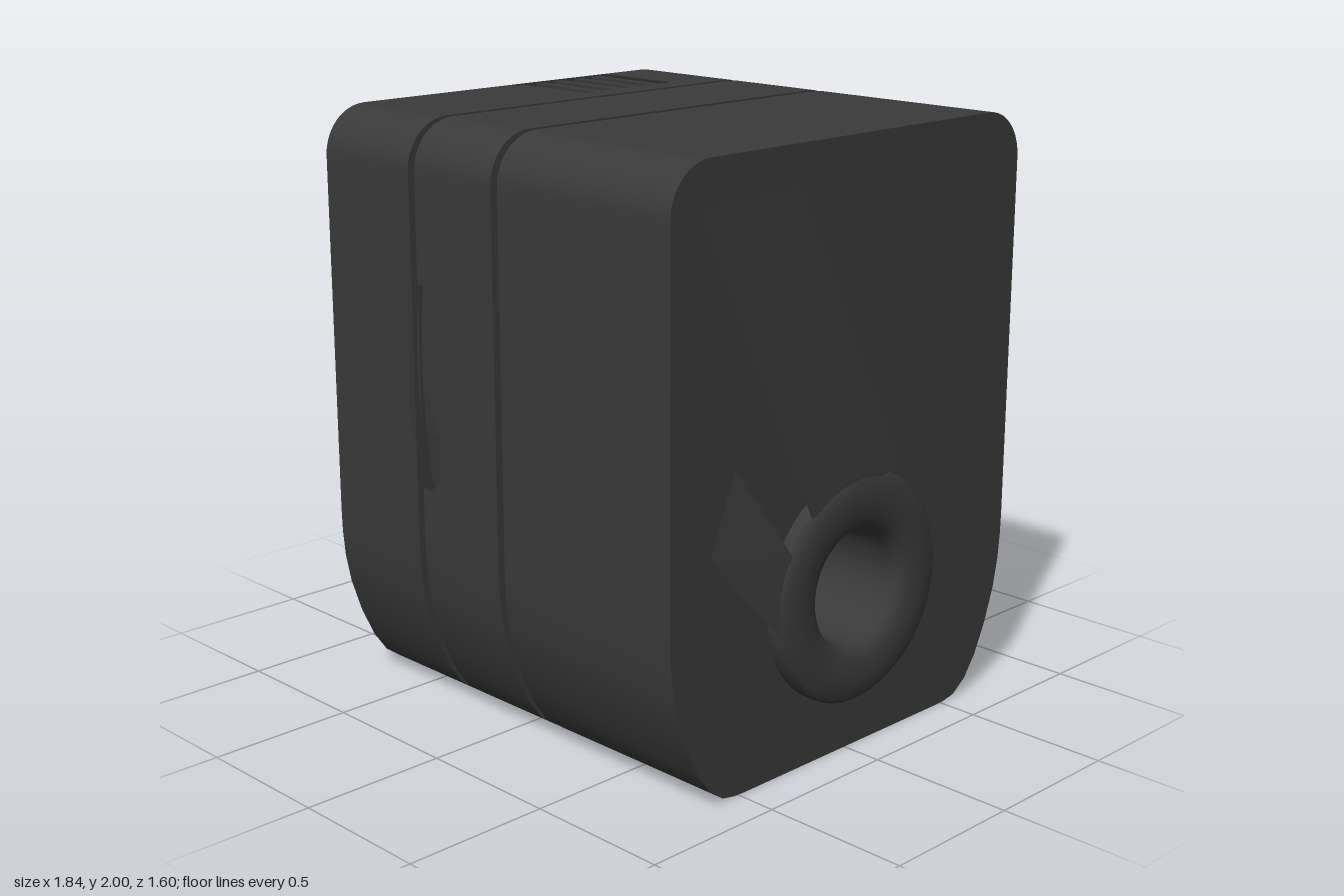
import * as THREE from 'three';
import { ConvexGeometry } from 'three/addons/geometries/ConvexGeometry.js';

const dark = new THREE.MeshStandardMaterial({ color: 0x3a3a3a, side: THREE.DoubleSide });
const darkFlat = new THREE.MeshStandardMaterial({ color: 0x3a3a3a, side: THREE.DoubleSide, flatShading: true });
const grey = new THREE.MeshStandardMaterial({ color: 0xcccccc, side: THREE.DoubleSide });

// Side outline of the housing as [z, y]: front half, then mirrored for the back
function outline() {
  const half = [[0, 0], [0.48, 0], [0.52, 0.002], [0.57, 0.012], [0.63, 0.055], [0.68, 0.125], [0.73, 0.23],
    [0.77, 0.35], [0.79, 0.45], [0.798, 0.54], [0.8, 0.62], [0.8, 0.8], [0.8, 1.2], [0.8, 1.48], [0.8, 1.65], [0.8, 1.8]];
  for (let i = 0; i <= 10; i++) {
    const a = (i / 10) * Math.PI / 2;
    half.push([0.64 + 0.16 * Math.cos(a), 1.84 + 0.16 * Math.sin(a)]);
  }
  half.push([0.6, 2], [0.45, 2], [0, 2]);
  const back = half.slice(1, -1).reverse().map(([z, y]) => [-z, y]);
  return half.concat(back);
}
const profile = outline();
const BASE_Y = 0.56; // height of the dial and ring axis

// Band swept along x through the stations; cells where isHole(x, y, z) is true stay open
function band(stations, scale, isHole = () => false) {
  const n = profile.length, pos = [], index = [];
  for (const x of stations)
    for (const [z, y] of profile) pos.push(x, 1 + (y - 1) * scale, z * scale);
  for (let i = 0; i < stations.length - 1; i++)
    for (let j = 0; j < n; j++) {
      const k = (j + 1) % n;
      const [z0, y0] = profile[j], [z1, y1] = profile[k];
      if (isHole((stations[i] + stations[i + 1]) / 2, (y0 + y1) / 2, (z0 + z1) / 2)) continue;
      const a = i * n + j, b = a + n, c = i * n + k, d = c + n;
      index.push(a, b, c, b, d, c);
    }
  const g = new THREE.BufferGeometry();
  g.setAttribute('position', new THREE.Float32BufferAttribute(pos, 3));
  g.setIndex(index);
  g.computeVertexNormals();
  return g;
}

// Flat wall with the housing outline, with an optional round or outline-shaped opening
function wall(x, side, holeRadius = 0, rim = 0) {
  const s = new THREE.Shape(profile.map(([z, y]) => new THREE.Vector2(z, y)));
  if (holeRadius) s.holes.push(new THREE.Path().absarc(0, BASE_Y, holeRadius, 0, Math.PI * 2, true));
  if (rim) s.holes.push(new THREE.Path(profile.map(([z, y]) => new THREE.Vector2(z * rim, 1 + (y - 1) * rim)).reverse()));
  return new THREE.ShapeGeometry(s, 40).rotateY(side * Math.PI / 2).translate(x, 0, 0);
}

export function createModel() {
  const model = new THREE.Group();
  const add = (name, geometry, material = dark) => {
    const mesh = new THREE.Mesh(geometry, material);
    mesh.name = name;
    model.add(mesh);
    return mesh;
  };
  const hull = (name, pts) => add(name, new ConvexGeometry(pts.map(p => new THREE.Vector3(...p))), darkFlat);

  // Openings: top vent, back vent and front latch recess
  const openings = (x, y, z) =>
    (x > -0.74 && x < -0.4 && y > 1.99 && z > -0.45 && z < 0) ||
    (x > -0.72 && x < -0.4 && z < -0.79 && y > 1.2 && y < 1.65) ||
    (x > -0.53 && x < -0.19 && z > 0.79 && y > 0.8 && y < 1.48);

  // Three housing sections separated by narrow grooves
  const sections = [
    ['endSection', [-0.74, -0.72, -0.53, -0.4, -0.31]],
    ['middleSection', [-0.28, -0.19, 0.09]],
    ['mainSection', [0.12, 0.86]],
  ];
  for (const [name, xs] of sections) {
    add(name, band(xs, 1, openings));
    if (xs[0] > -0.7) add(name + 'Rim', wall(xs[0], -1, 0, 0.94));
    if (xs.at(-1) < 0.8) add(name + 'Rim', wall(xs.at(-1), 1, 0, 0.94));
  }
  add('innerCore', band([-0.74, 0.86], 0.94));
  add('grooveSeal', band([0.085, 0.125], 0.965), grey);

  // End walls
  add('dialWall', wall(-0.74, -1));
  add('ringWall', wall(0.86, 1, 0.19));

  // Vent slats on the top and the back
  for (let i = 0; i < 5; i++) {
    const t = (i + 0.5) / 5;
    add('topSlat', new THREE.BoxGeometry(0.34, 0.05, 0.035).translate(-0.57, 1.97, -0.45 + 0.45 * t));
    add('backSlat', new THREE.BoxGeometry(0.32, 0.035, 0.05).translate(-0.56, 1.2 + 0.45 * t, -0.77));
  }

  // Slim latch blade in the front recess
  hull('latchBlade', [
    [-0.3, 0.82, 0.76], [-0.22, 0.82, 0.76], [-0.19, 0.98, 0.79], [-0.38, 1.0, 0.77],
    [-0.2, 1.48, 0.79], [-0.37, 1.46, 0.77], [-0.26, 1.2, 0.75], [-0.3, 1.2, 0.79],
  ]);

  // Ring with a rounded face and a recessed cup behind it
  const ringProfile = [[0.19, -0.3], [0.19, 0.0], [0.2, 0.035], [0.24, 0.055], [0.3, 0.06], [0.36, 0.055], [0.38, 0.035], [0.38, 0]];
  const turn = (pts, side, x) => new THREE.LatheGeometry(pts.map(p => new THREE.Vector2(...p)), 48)
    .rotateZ(-side * Math.PI / 2).translate(x, BASE_Y, 0);
  add('ring', turn(ringProfile.reverse(), 1, 0.86));
  add('cupFloor', new THREE.CircleGeometry(0.19, 48).rotateY(Math.PI / 2).translate(0.56, BASE_Y, 0));

  // Shallow facets running from the ring to the housing edge
  hull('ringUpperFacet', [[0.855, 1.95, 0.72], [0.855, 1.96, 0.3], [0.91, 0.93, -0.18],
    [0.91, 0.94, 0.06], [0.91, 0.85, 0.24], [0.855, 0.94, -0.2]]);
  hull('ringFrontFacet', [[0.86, 1.06, 0.53], [0.86, 0.8, 0.63], [0.905, 0.75, 0.32], [0.905, 0.5, 0.375], [0.855, 0.6, 0.36]]);

  // Dial: wide base with a knob
  add('dialBase', turn([[0.38, 0], [0.38, 0.06], [0.2, 0.075]], -1, -0.74));
  add('dialKnob', turn([[0.2, 0.04], [0.205, 0.14], [0.185, 0.17], [0.16, 0.18], [0.06, 0.18], [0, 0.17]], -1, -0.74));

  // Tapered arms from the dial to the vents
  const tip = [[-0.9, 0.74, -0.06], [-0.9, 0.72, 0.08], [-0.76, 0.74, -0.08], [-0.76, 0.72, 0.08]];
  for (const [z0, z1] of [[-0.45, -0.26], [-0.2, 0]])
    hull('topArm', [...tip, [-0.742, 1.97, z0], [-0.742, 1.97, z1], [-0.73, 1.97, z0], [-0.73, 1.97, z1]]);
  for (const y of [1.22, 1.46])
    hull('backArm', [[-0.89, 0.7, -0.13], [-0.89, 0.6, -0.19], [-0.75, 0.7, -0.13], [-0.75, 0.6, -0.19],
      [-0.742, y, -0.78], [-0.742, y + 0.16, -0.78], [-0.73, y, -0.78], [-0.73, y + 0.16, -0.78]]);
  hull('frontArm', [[-0.88, 0.64, 0.18], [-0.88, 0.46, 0.17], [-0.8, 0.75, 0.34], [-0.8, 0.4, 0.34],
    [-0.742, 0.95, 0.68], [-0.742, 0.6, 0.68], [-0.73, 0.5, 0.2]]);

  return model;
}
